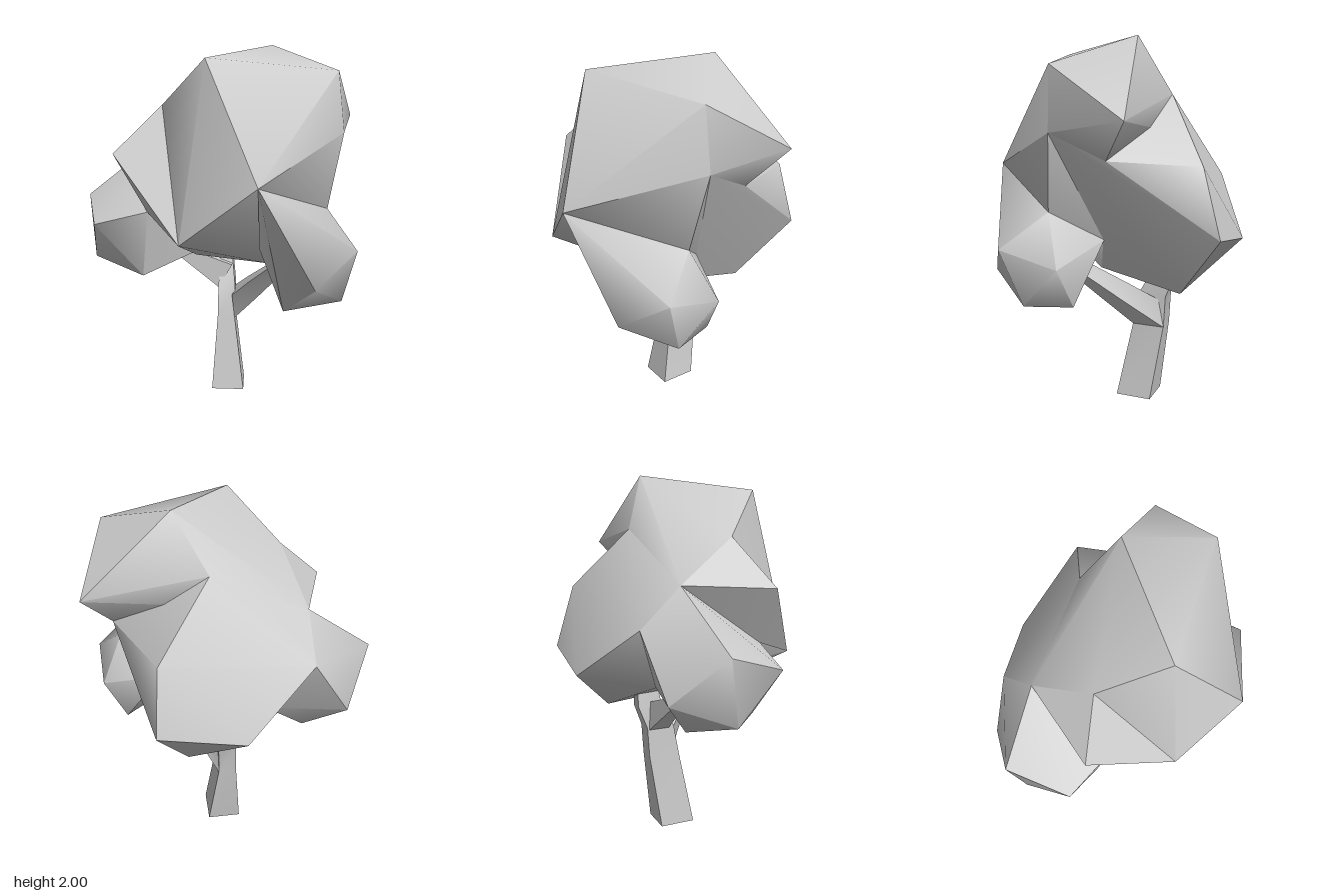
import * as THREE from 'three';
import { ConvexGeometry } from 'three/addons/geometries/ConvexGeometry.js';
import { toCreasedNormals } from 'three/addons/utils/BufferGeometryUtils.js';

const material = new THREE.MeshStandardMaterial({ color: 0xcccccc });

function part(name, geometry, crease) {
  const mesh = new THREE.Mesh(toCreasedNormals(geometry, crease), material);
  mesh.name = name;
  return mesh;
}

// Faceted clump of leaves around a few corner points
function clump(name, crease, corners) {
  const points = corners.map((c) => new THREE.Vector3(...c));
  return part(name, new ConvexGeometry(points), crease);
}

// Four-sided limb through sections [x, y, z, halfX, halfZ, tilt];
// tilt raises the +x side and lowers the -x side
function limb(name, sections) {
  const corners = [[1, 1], [1, -1], [-1, -1], [-1, 1]];
  const positions = [];
  for (const [x, y, z, hx, hz, tilt = 0] of sections) {
    for (const [a, b] of corners) positions.push(x + a * hx, y + a * tilt, z + b * hz);
  }
  const index = [0, 2, 1, 0, 3, 2];
  for (let r = 0; r < sections.length - 1; r++) {
    for (let i = 0; i < 4; i++) {
      const a = r * 4 + i, b = r * 4 + ((i + 1) % 4);
      index.push(a, b, b + 4, a, b + 4, a + 4);
    }
  }
  const t = (sections.length - 1) * 4;
  index.push(t, t + 1, t + 2, t, t + 2, t + 3);
  const geometry = new THREE.BufferGeometry();
  geometry.setAttribute('position', new THREE.Float32BufferAttribute(positions, 3));
  geometry.setIndex(index);
  return part(name, geometry, 0.6);
}

export function createModel() {
  const tree = new THREE.Group();
  tree.name = 'tree';

  // Corners shared by neighbouring clumps
  const frontLow = [-0.16, 1.01, 0.54];
  const frontTip = [0.23, 1.32, 0.66];
  const crownDent = [-0.29, 1.68, 0.1];
  const backNotch = [0.14, 1.71, -0.31];
  const sideNotch = [0.62, 1.41, -0.14];
  const sideTip = [0.68, 1.54, 0.13];
  const backSide = [-0.38, 1.45, -0.23];
  const frontSide = [-0.36, 1.12, 0.24];
  const backCorner = [-0.38, 1.24, -0.45];
  const backLeft = [0.45, 1.03, -0.66];
  const backLow = [0.28, 0.69, -0.41];
  const underBack = [-0.16, 0.88, -0.28];
  const underFront = [-0.1, 0.88, 0.2];
  const underLeft = [0.29, 0.79, 0.03];
  const leftTop = [0.6, 1.14, 0.18];
  const leftInner = [0.39, 0.97, -0.03];

  const foliage = new THREE.Group();
  foliage.name = 'foliage';
  foliage.add(
    clump('crownClump', 0.79, [
      [-0.04, 1.92, 0.36], [0.3, 2, -0.18], [0.64, 1.86, 0.14], [0.76, 1.61, -0.29],
      crownDent, frontLow, frontTip, backNotch, sideNotch, sideTip, backSide,
    ]),
    clump('crownCorner', 0.79, [
      [-0.54, 1.43, 0.23], crownDent, frontLow, backSide, frontSide,
    ]),
    clump('frontClump', 0.8, [
      frontLow, frontTip, sideTip, leftTop, leftInner, underLeft, underFront,
    ]),
    clump('sideClump', 0.9, [
      sideTip, sideNotch, backLeft, backLow, leftInner, underLeft, underFront,
    ]),
    clump('backClump', 0.9, [
      backNotch, sideNotch, backSide, frontLow, backLeft, backLow, backCorner,
      [0.42, 1.38, -0.56], [0, 0.95, -0.67], underLeft, underFront, underBack,
    ]),
    clump('rightClump', 0.85, [
      backSide, frontSide, backCorner, underBack, [-0.1, 0.88, 0.1],
      [-0.76, 1.15, -0.14], [-0.66, 1.04, 0.2], [-0.72, 0.79, -0.08], [-0.39, 0.69, -0.21],
      [-0.59, 0.9, -0.39], [-0.4, 0.75, 0.18],
    ]),
    clump('leftClump', 1.1, [
      frontTip, leftTop, leftInner,
      [0.37, 0.61, 0.33], [0.68, 0.66, 0.29], [0.52, 0.79, 0.54], [0.74, 0.96, 0.39],
      [0.6, 0.66, 0.05], [0.72, 0.88, 0.08], [0.24, 0.93, 0.25],
    ]),
  );
  tree.add(foliage);

  // Trunk runs up into the crown, with one branch to each side
  const wood = new THREE.Group();
  wood.name = 'wood';
  wood.add(
    limb('trunk', [
      [0.062, 0, -0.1, 0.093, 0.1],
      [0.048, 0.43, -0.17, 0.05, 0.09],
      [0.05, 0.6, -0.19, 0.05, 0.08],
      [0.045, 0.73, -0.25, 0.04, 0.07],
      [0.055, 0.95, -0.27, 0.02, 0.05],
    ]),
    limb('leftBranch', [
      [0.09, 0.49, -0.17, 0.008, 0.09, -0.07],
      [0.2, 0.63, -0.02, 0.02, 0.065, -0.05],
      [0.33, 0.79, 0.15, 0.02, 0.04, -0.03],
    ]),
    limb('rightBranch', [
      [0.04, 0.66, -0.2, 0.04, 0.06, 0.07],
      [-0.25, 0.82, -0.18, 0.015, 0.03, 0.02],
      [-0.36, 0.87, -0.17, 0.01, 0.02, 0.01],
    ]),
  );
  tree.add(wood);

  return tree;
}
